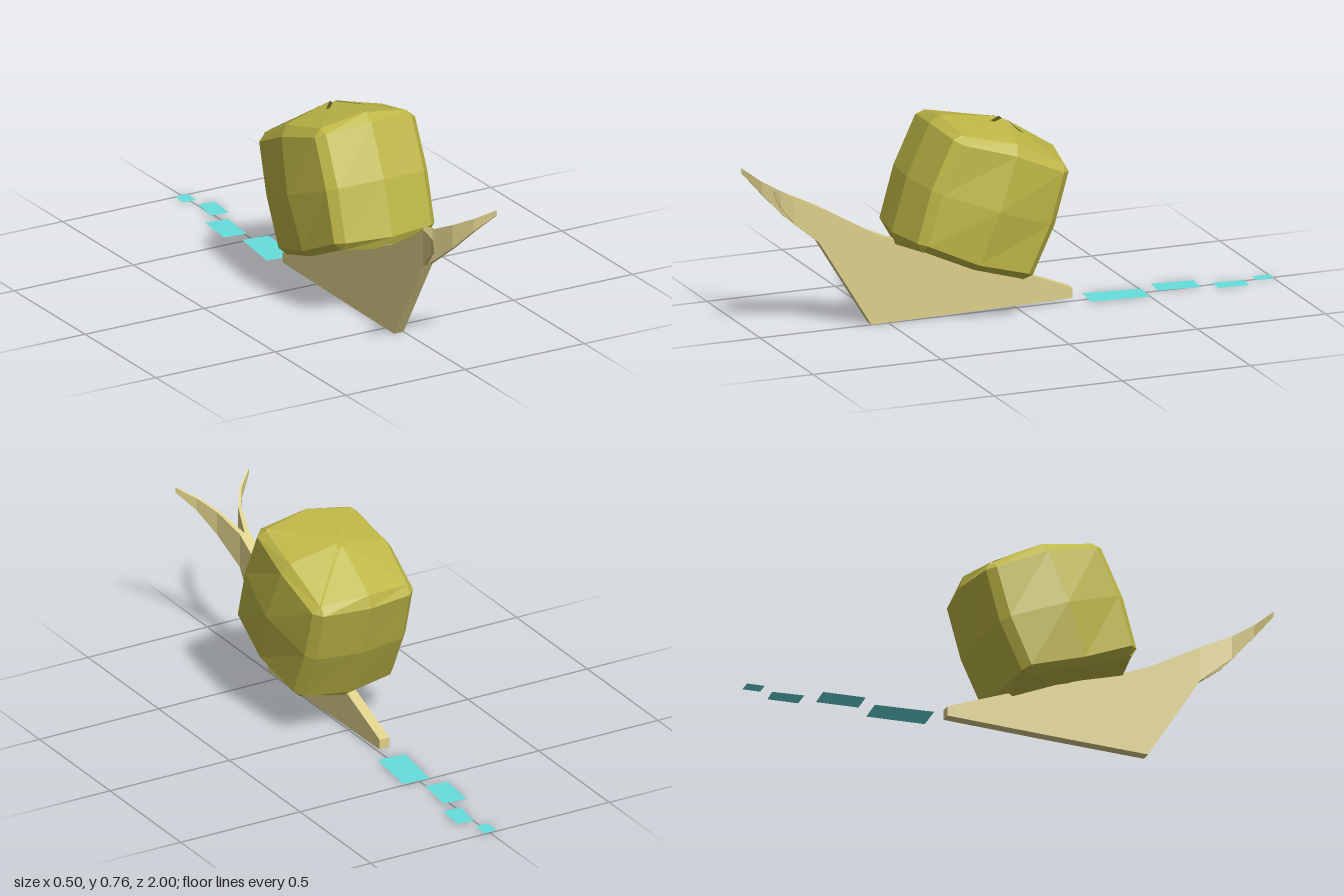
import * as THREE from 'three';

const material = (color) => new THREE.MeshStandardMaterial({ color, flatShading: true, side: THREE.DoubleSide });

function facets(points) {
  const g = new THREE.BufferGeometry();
  g.setAttribute('position', new THREE.Float32BufferAttribute(points.flat(), 3));
  g.computeVertexNormals();
  return g;
}

// Joins closed cross-sections; optional centre points close the ends with fans
function loft(rings, startCentre, endCentre) {
  const pts = [];
  const n = rings[0].length;
  for (let j = 0; j < n; j++) {
    const k = (j + 1) % n;
    for (let i = 0; i < rings.length - 1; i++) {
      const a = rings[i][j], b = rings[i][k], c = rings[i + 1][k], d = rings[i + 1][j];
      pts.push(a, b, c, a, c, d);
    }
    const last = rings[rings.length - 1];
    if (startCentre) pts.push(startCentre, rings[0][k], rings[0][j]);
    if (endCentre) pts.push(endCentre, last[j], last[k]);
  }
  return facets(pts);
}

// Mirrors one quarter (front middle, two corner points, side middle) to a full ring
function shellRing([m, c1, c2, s], flip = 1) {
  const put = ([x, y, z], sx, sz) => [x * sx, y * flip, z * sz];
  return [
    put(m, 1, 1), put(c1, 1, 1), put(c2, 1, 1), put(s, 1, 1),
    put(c2, 1, -1), put(c1, 1, -1), put(m, 1, -1), put(c1, -1, -1),
    put(c2, -1, -1), put(s, -1, 1), put(c2, -1, 1), put(c1, -1, 1),
  ];
}

function createShell(mat) {
  const shell = new THREE.Group();
  shell.name = 'shell';
  const shoulder = [[0, 0.21, 0.265], [0.18, 0.2, 0.24], [0.21, 0.195, 0.21], [0.23, 0.21, 0]];
  const waist = [[0, 0, 0.28], [0.18, 0, 0.257], [0.212, 0, 0.225], [0.25, 0, 0]];
  const rim = [[0, 0.25, 0.235], [0.18, 0.225, 0.21], [0.183, 0.223, 0.203], [0.2, 0.25, 0]];
  const base = rim.map(([x, y, z], i) => [x, i === 3 ? 0.235 : y, z]);
  const top = shellRing(rim);
  const wall = new THREE.Mesh(loft([
    shellRing(base, -1), shellRing(shoulder, -1), shellRing(waist), shellRing(shoulder), top,
  ], [0, -0.235, 0], [0, 0.275, 0]), mat);
  wall.name = 'shellWall';
  shell.add(wall);

  // Four crown petals, separated by narrow creases
  const tips = [[0, 0.298, 0.012], [0.012, 0.298, 0], [0, 0.298, -0.012], [-0.012, 0.298, 0]];
  tips.forEach((tip, i) => {
    const [a, b, c] = [11, 12, 13].map((k) => top[(k + i * 3) % 12]);
    const petal = new THREE.Mesh(facets([tip, a, b, tip, b, c]), mat);
    petal.name = 'shellPetal';
    shell.add(petal);
  });
  shell.position.set(0, 0.445, 0.165);
  shell.rotation.x = -0.358;
  return shell;
}

function createBody(mat) {
  const body = new THREE.Group();
  body.name = 'body';
  // Flat slab cut from a side profile of [z, y] points
  const profile = [
    [0.565, 0], [0.77, 0.333], [0.77, 0.465], [0.57, 0.35], [0.49, 0.315],
    [0, 0.137], [-0.22, 0.05], [-0.22, 0.012], [0.17, 0.005],
  ];
  const shape = new THREE.Shape(profile.map(([z, y]) => new THREE.Vector2(z, y)));
  const slabGeometry = new THREE.ExtrudeGeometry(shape, { depth: 0.04, bevelEnabled: false });
  slabGeometry.rotateY(-Math.PI / 2);
  const slab = new THREE.Mesh(slabGeometry, mat);
  slab.name = 'foot';
  body.add(slab);

  // Tapering stalks: z, low y, high y, outer offset, inner offset
  const stations = [
    [0.77, 0.333, 0.465, 0.02, 0],
    [0.88, 0.425, 0.515, 0.05, 0.038],
    [0.95, 0.505, 0.553, 0.095, 0.086],
    [1, 0.57, 0.59, 0.154, 0.15],
  ];
  for (const s of [1, -1]) {
    const rings = stations.map(([z, lo, hi, o, i]) => {
      const ring = [[o, lo], [o, hi], [i, hi], [i, lo]].map(([x, y]) => [-0.02 + s * x, y, z]);
      return s > 0 ? ring : ring.reverse();
    });
    const stalk = new THREE.Mesh(loft(rings, null, [-0.02 + s * 0.152, 0.58, 1]), mat);
    stalk.name = s > 0 ? 'leftStalk' : 'rightStalk';
    body.add(stalk);
  }
  return body;
}

function createTrail(mat) {
  const trail = new THREE.Group();
  trail.name = 'slimeTrail';
  // Each patch: far left, far right, near right, near left as [x, z]
  const patches = [
    [[-0.04, -0.505], [0.065, -0.495], [0.042, -0.275], [-0.068, -0.285]],
    [[-0.068, -0.72], [0.022, -0.71], [0.005, -0.55], [-0.084, -0.56]],
    [[0.003, -0.89], [0.068, -0.88], [0.057, -0.765], [-0.014, -0.77]],
    [[-0.028, -1], [0.025, -0.997], [0.019, -0.93], [-0.033, -0.934]],
  ];
  for (const patch of patches) {
    const [a, b, c, d] = patch.map(([x, z]) => [x, 0.003, z]);
    const mesh = new THREE.Mesh(facets([a, d, c, a, c, b]), mat);
    mesh.name = 'slimePatch';
    trail.add(mesh);
  }
  return trail;
}

export function createModel() {
  const model = new THREE.Group();
  model.name = 'snail';
  model.add(
    createShell(material(0xbdb646)),
    createBody(material(0xdccf8a)),
    createTrail(material(0x66dfdc)),
  );
  return model;
}
